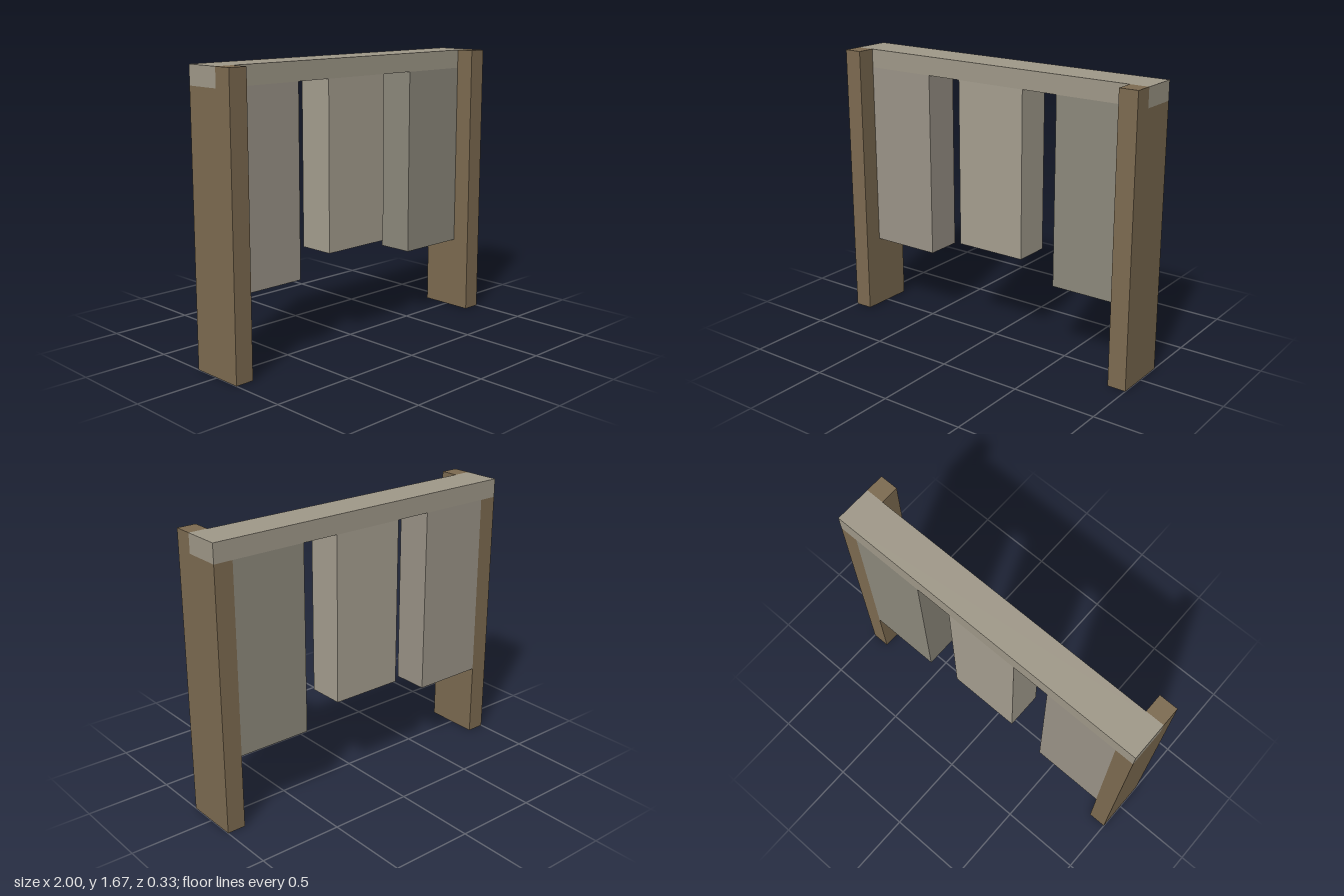
import * as THREE from 'three';

const U = 1 / 9; // the design sits on an 18 x 15 x 3 unit grid

export function createModel() {
  const group = new THREE.Group();
  const add = (name, geometry, color, x = 0, y = 0, z = 0) => {
    const mesh = new THREE.Mesh(geometry, new THREE.MeshStandardMaterial({ color, flatShading: true }));
    mesh.name = name;
    mesh.position.set(x * U, y * U, z * U);
    group.add(mesh);
  };

  // Posts: side profile notched at the top back, where the beam rests
  const profile = [[-1.5, 0], [1.5, 0], [1.5, 15], [0.5, 15], [0.5, 14], [-1.5, 14]];
  const shape = new THREE.Shape(profile.map(([z, y]) => new THREE.Vector2(z * U, y * U)));
  const post = new THREE.ExtrudeGeometry(shape, { depth: U, bevelEnabled: false });
  post.translate(0, 0, -U / 2).rotateY(-Math.PI / 2);
  add('leftPost', post, 0x7d6b51, 8.5);
  add('rightPost', post, 0x7d6b51, -8.5);

  // Beam across the top, flush with the post ends and backs
  add('beam', new THREE.BoxGeometry(18 * U, U, 2 * U), 0xa09989, 0, 14.5, -0.5);

  // Hanging panels: the middle one is shorter
  const panels = [
    ['rightPanel', -6, 10, 0x9b9488],
    ['middlePanel', 0, 9, 0xa69f90],
    ['leftPanel', 6, 10, 0x8d897c],
  ];
  for (const [name, x, height, color] of panels) {
    add(name, new THREE.BoxGeometry(4 * U, height * U, 2 * U), color, x, 14 - height / 2, -0.5);
  }
  return group;
}
